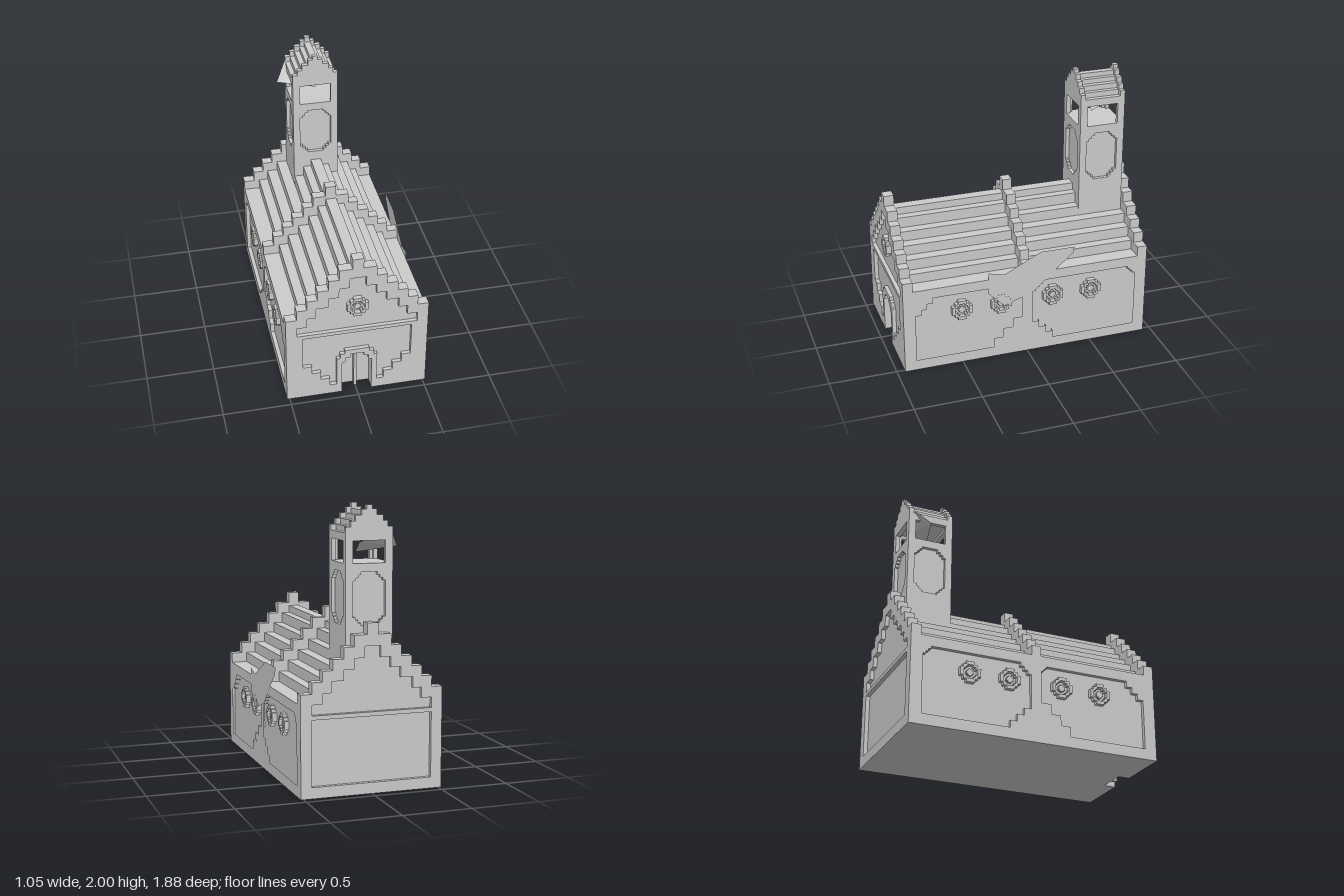
import * as THREE from 'three';

const mat = new THREE.MeshStandardMaterial({ color: 0xcccccc, flatShading: true });
const thinMat = new THREE.MeshStandardMaterial({ color: 0xcccccc, flatShading: true, side: THREE.DoubleSide });
const vec = (pts) => pts.map(([x, y]) => new THREE.Vector2(x, y));

// Solid plate: outline with holes, reaching from z0 to z1
function plate(parent, name, outline, holes, z0, z1) {
  const shape = new THREE.Shape(vec(outline));
  holes.forEach((h) => shape.holes.push(new THREE.Path(vec(h))));
  const geo = new THREE.ExtrudeGeometry(shape, { depth: z1 - z0, bevelEnabled: false });
  geo.translate(0, 0, z0);
  const mesh = new THREE.Mesh(geo, mat);
  mesh.name = name;
  parent.add(mesh);
  return mesh;
}

function box(parent, name, x0, x1, y0, y1, z0, z1) {
  const mesh = new THREE.Mesh(new THREE.BoxGeometry(x1 - x0, y1 - y0, z1 - z0), mat);
  mesh.position.set((x0 + x1) / 2, (y0 + y1) / 2, (z0 + z1) / 2);
  mesh.name = name;
  parent.add(mesh);
}

// Symmetric stepped outline from [halfWidth, top] tiers; notch is an optional path along the bottom
function tiers(steps, bottom, notch = []) {
  const right = [];
  let y = bottom;
  steps.forEach(([w, top]) => {
    right.push([w, y], [w, top]);
    y = top;
  });
  return [...notch, ...right, ...right.map(([x, v]) => [-x, v]).reverse()];
}

// Rectangle whose corners are cut as staircases; cuts run bottom-left, bottom-right, top-right, top-left
function stepRect(x0, y0, x1, y1, cuts, n = 3) {
  const corners = [[x0, y0, 0, -1, 1, 0], [x1, y0, 1, 0, 0, 1], [x1, y1, 0, 1, -1, 0], [x0, y1, -1, 0, 0, -1]];
  const pts = [];
  corners.forEach(([x, y, ax, ay, bx, by], k) => {
    const c = cuts[k], s = c / n;
    if (!c) return pts.push([x, y]);
    let px = x - ax * c, py = y - ay * c;
    pts.push([px, py]);
    for (let i = 0; i < n; i++) {
      px += bx * s; py += by * s;
      pts.push([px, py]);
      if (i < n - 1) {
        px += ax * s; py += ay * s;
        pts.push([px, py]);
      }
    }
    // the last stair tread ends on the outgoing edge
    pts.splice(pts.length - 1, 1, [x + bx * c - ax * s, y + by * c - ay * s], [x + bx * c, y + by * c]);
  });
  return pts;
}

// Round window: stepped ring with a small boss
function roseWindow(parent, u, y, z0, z1) {
  const ring = (r) => stepRect(u - r, y - r, u + r, y + r, Array(4).fill(r * 0.6), 2);
  plate(parent, 'windowRing', ring(0.077), [ring(0.052)], z0, z1);
  plate(parent, 'windowBoss', ring(0.026), [], z0, z0 + (z1 - z0) * 0.6);
}

// Stepped arch path, from left foot over the top to right foot
function arch(w, h, foot) {
  const half = [[w, foot], [w, h - 0.07], [w - 0.025, h - 0.07], [w - 0.025, h - 0.03],
    [w - 0.06, h - 0.03], [w - 0.06, h]];
  return [...half.map(([x, y]) => [-x, y]), ...half.reverse()];
}

const GABLE = [[0.52, 0.73], [0.44, 0.81], [0.365, 0.885], [0.29, 0.96], [0.21, 1.04], [0.135, 1.12], [0.04, 1.2]];
const INNER = [[0.44, 0.655], [0.365, 0.73], [0.3, 0.81], [0.21, 0.885], [0.135, 0.96], [0.06, 1.04]];
const ROOF = [[0.52, 0.655], [0.4, 0.73], [0.33, 0.81], [0.25, 0.885], [0.17, 0.96], [0.1, 1.04], [0.04, 1.095]];

function buildNave(root) {
  const nave = new THREE.Group();
  nave.name = 'nave';
  root.add(nave);
  box(nave, 'wallCore', -0.49, 0.49, 0, 0.6, -0.91, 0.85);
  plate(nave, 'steppedRoof', tiers(ROOF, 0.6), [], -0.91, 0.88);
  plate(nave, 'middleParapet', tiers(GABLE, 0.6), [], -0.035, 0.035);
  plate(nave, 'backParapet', tiers(GABLE, 0.6), [], -0.91, -0.865);
  plate(nave, 'frontParapet', tiers(GABLE, 0.6), [], 0.865, 0.91);

  // Front wall with the doorway cut through it
  const door = arch(0.11, 0.35, 0);
  plate(nave, 'frontWall', tiers([[0.49, 0.6]], 0, door), [], 0.85, 0.91);
  const low = stepRect(-0.4, 0.08, 0.4, 0.55, [0.2, 0.2, 0, 0]);
  const split = low.findIndex(([x, y]) => y === 0.08 && x < 0);
  const around = [...low.slice(0, split + 1), ...arch(0.15, 0.39, 0.08), ...low.slice(split + 1)];
  plate(nave, 'frontFrame', tiers(GABLE, 0, door), [tiers(INNER, 0.58), around], 0.91, 0.94);
  box(nave, 'doorPost', -0.012, 0.012, 0, 0.35, 0.85, 0.89);
  roseWindow(nave, 0, 0.78, 0.91, 0.945);

  // Back wall frame
  plate(nave, 'backFrame', tiers(GABLE, 0),
    [tiers(INNER, 0.58), stepRect(-0.44, 0.08, 0.44, 0.55, [0, 0, 0, 0])], -0.94, -0.91);

  // Side wall frames, each with two panels and four round windows
  [1, -1].forEach((s) => {
    const side = new THREE.Group();
    side.name = s > 0 ? 'leftWall' : 'rightWall';
    side.rotation.y = s * Math.PI / 2;
    nave.add(side);
    const flip = (pts) => pts.map(([z, y]) => [-s * z, y]);
    plate(side, 'sideFrame', flip([[-0.94, 0], [0.94, 0], [0.94, 0.655], [-0.94, 0.655]]), [
      flip(stepRect(0.04, 0.08, 0.85, 0.58, [0.22, 0, 0.13, 0.04])),
      flip(stepRect(-0.85, 0.08, -0.04, 0.58, [0, 0.16, 0.08, 0.06])),
    ], 0.49, 0.52);
    [0.5, 0.2, -0.2, -0.5].forEach((z) => roseWindow(side, -s * z, 0.44, 0.49, 0.525));
  });
}

function buildTower(root) {
  const tower = new THREE.Group();
  tower.name = 'tower';
  tower.position.z = -0.692;
  root.add(tower);
  const R = 0.172;
  box(tower, 'shaftCore', -0.145, 0.145, 0.6, 1.6, -0.145, 0.145);
  // Four faces with a stepped panel below and the belfry opening above
  for (let k = 0; k < 4; k++) {
    const face = new THREE.Group();
    face.name = 'towerFace';
    face.rotation.y = k * Math.PI / 2;
    tower.add(face);
    plate(face, 'faceFrame', [[-R, 0.6], [R, 0.6], [R, 1.81], [-R, 1.81]], [
      stepRect(-0.12, 1.17, 0.12, 1.54, [0.06, 0.06, 0.06, 0.06]),
      [[-0.118, 1.6], [0.118, 1.6], [0.118, 1.755], [-0.118, 1.755]],
    ], 0.142, R);
  }
  // Stepped cap between two small gables
  plate(tower, 'towerRoof', tiers([[R, 1.81], [0.135, 1.85], [0.1, 1.89], [0.06, 1.925], [0.025, 1.96]], 1.78), [], -0.14, 0.14);
  const cap = tiers([[R, 1.85], [0.135, 1.89], [0.1, 1.93], [0.055, 1.97], [0.02, 2]], 1.755);
  plate(tower, 'frontCapGable', cap, [], 0.135, R);
  plate(tower, 'backCapGable', cap, [], -R, -0.135);
}

// Thin loose sheets: one against the left wall, one hanging in the belfry
function buildSheets(root) {
  const outline = [[0.3, 0.71], [0.18, 0.68], [-0.1, 0.82], [-0.36, 0.82], [-0.35, 0.77],
    [-0.22, 0.66], [-0.05, 0.5], [0.18, 0.42], [0.3, 0.54]];
  const side = new THREE.Mesh(new THREE.ShapeGeometry(new THREE.Shape(vec(outline.map(([z, y]) => [-z, y])))), thinMat);
  side.rotation.y = Math.PI / 2;
  side.position.x = 0.523;
  side.name = 'wallSheet';
  root.add(side);

  const flapGeo = new THREE.BufferGeometry();
  flapGeo.setAttribute('position', new THREE.Float32BufferAttribute(
    [-0.26, 1.7, -0.72, -0.18, 1.82, -0.82, 0.05, 1.74, -0.8, 0.03, 1.66, -0.66], 3));
  flapGeo.setIndex([0, 2, 1, 0, 3, 2]);
  flapGeo.computeVertexNormals();
  const flap = new THREE.Mesh(flapGeo, thinMat);
  flap.name = 'belfryFlap';
  root.add(flap);
}

export function createModel() {
  const root = new THREE.Group();
  root.name = 'church';
  buildNave(root);
  buildTower(root);
  buildSheets(root);
  return root;
}
